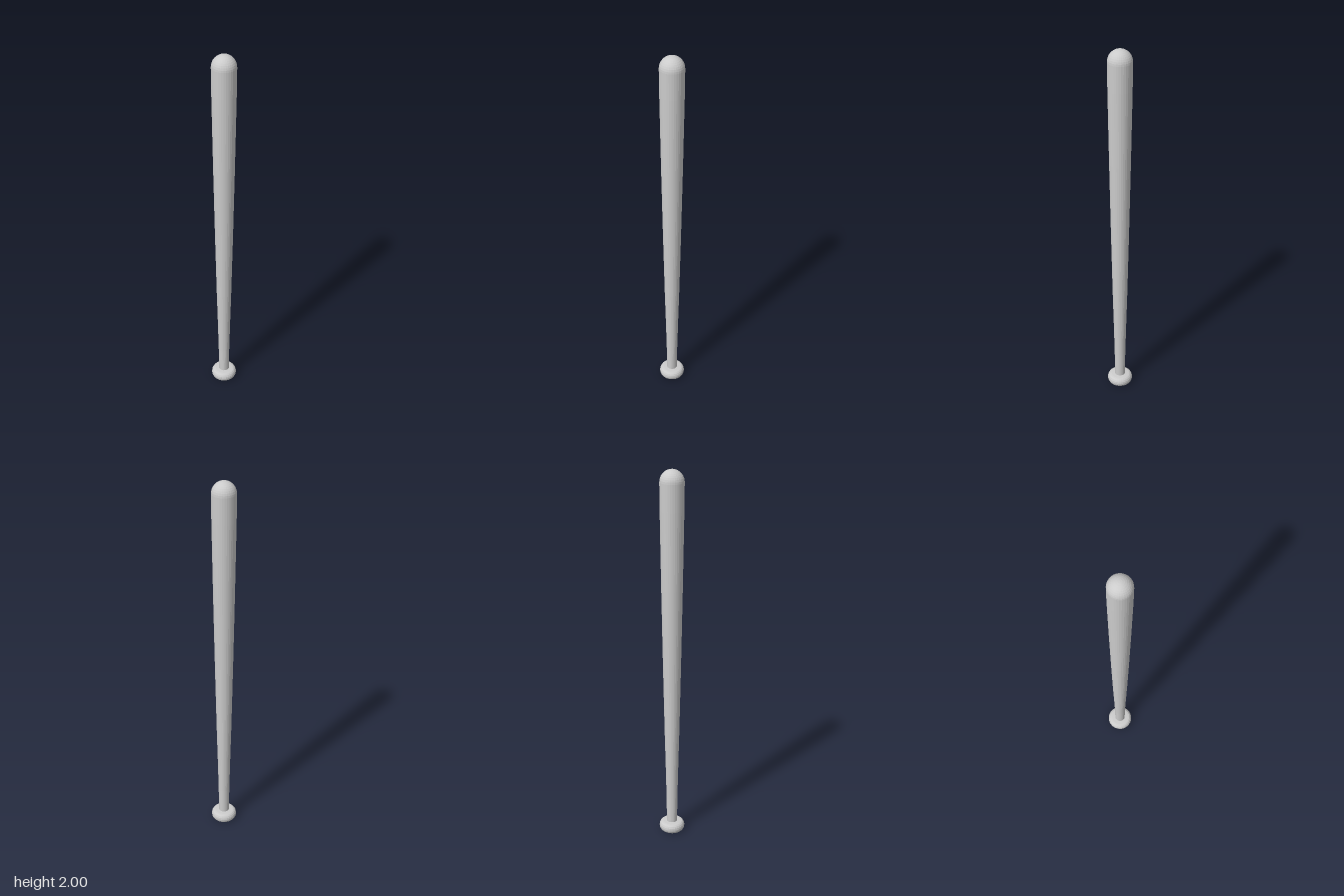
import * as THREE from 'three';

const SIDES = 32;

// Turn a list of [radius, height] points around the y axis
function turned(name, profile, material) {
  const points = profile.map(([r, y]) => new THREE.Vector2(r, y));
  const mesh = new THREE.Mesh(new THREE.LatheGeometry(points, SIDES), material);
  mesh.name = name;
  return mesh;
}

export function createModel() {
  const model = new THREE.Group();
  model.name = 'bat';
  const material = new THREE.MeshStandardMaterial({ color: 0xcccccc, flatShading: true });

  // Knob: a flat disc with a rounded rim
  const knob = [[0, 0]];
  const rim = 0.027;
  for (let i = 0; i <= 8; i++) {
    const a = -Math.PI / 2 + (i / 8) * Math.PI;
    knob.push([0.047 + 0.021 * Math.cos(a), rim + rim * Math.sin(a)]);
  }
  knob.push([0.027, 0.056]);
  model.add(turned('knob', knob, material));

  // Handle swelling gently into the barrel
  const shaft = [
    [0.028, 0.04], [0.0295, 0.2], [0.034, 0.4], [0.039, 0.6], [0.043, 0.8],
    [0.047, 1.0], [0.0505, 1.2], [0.054, 1.4], [0.057, 1.6], [0.06, 1.8], [0.061, 1.938],
  ];
  // Rounded barrel end
  const dome = 0.061;
  for (let i = 1; i <= 9; i++) {
    const a = (i / 9) * (Math.PI / 2);
    shaft.push([i === 9 ? 0 : dome * Math.cos(a), 1.938 + 0.062 * Math.sin(a)]);
  }
  model.add(turned('handleAndBarrel', shaft, material));

  return model;
}
